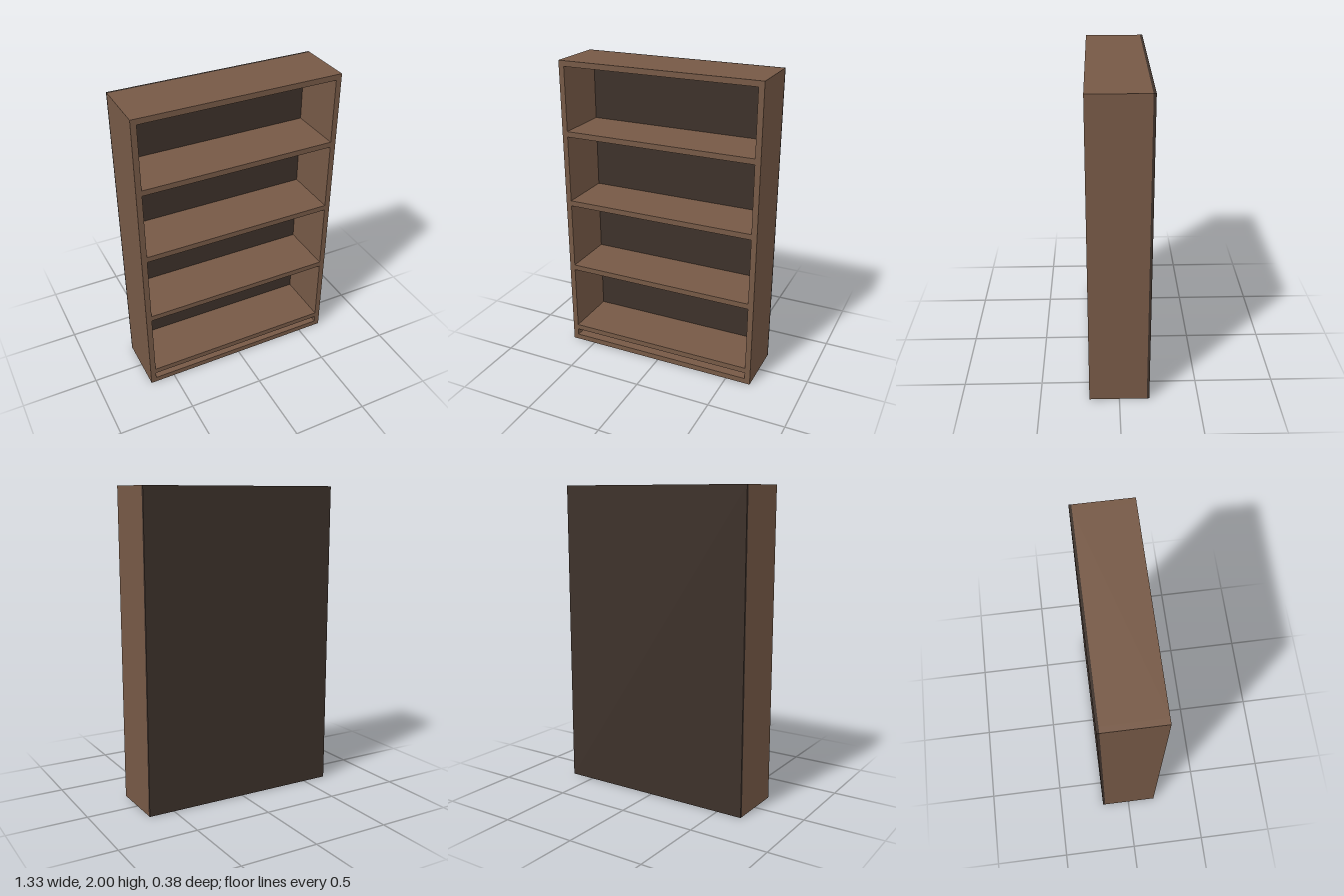
import * as THREE from 'three';

const W = 1.333, H = 2, D = 0.38; // overall size
const T = 0.036;                  // board thickness
const BACK = 0.016;               // back panel thickness

export function createModel() {
  const group = new THREE.Group();
  group.name = 'bookcase';
  const wood = new THREE.MeshStandardMaterial({ color: 0x765946 });
  const darkWood = new THREE.MeshStandardMaterial({ color: 0x3d312a });

  const board = (name, w, h, d, x, y, z, material = wood) => {
    const mesh = new THREE.Mesh(new THREE.BoxGeometry(w, h, d), material);
    mesh.name = name;
    mesh.position.set(x, y, z);
    group.add(mesh);
  };

  const depth = D - BACK, z = BACK / 2;
  const inner = W - 2 * T;

  // Outer frame
  for (const [name, s] of [['leftSide', 1], ['rightSide', -1]])
    board(name, T, H, depth, s * (W - T) / 2, H / 2, z);
  board('topBoard', inner, T, depth, 0, H - T / 2, z);
  board('bottomBoard', inner, T, depth, 0, T / 2, z);

  // Evenly spaced shelves, flush with the front of the frame
  for (let i = 0; i < 4; i++)
    board(`shelf${i + 1}`, inner, T, depth, 0, 0.098 + i * 0.477, z);

  // Dark panel closing the back
  board('backPanel', W, H, BACK, 0, H / 2, (BACK - D) / 2, darkWood);

  return group;
}
